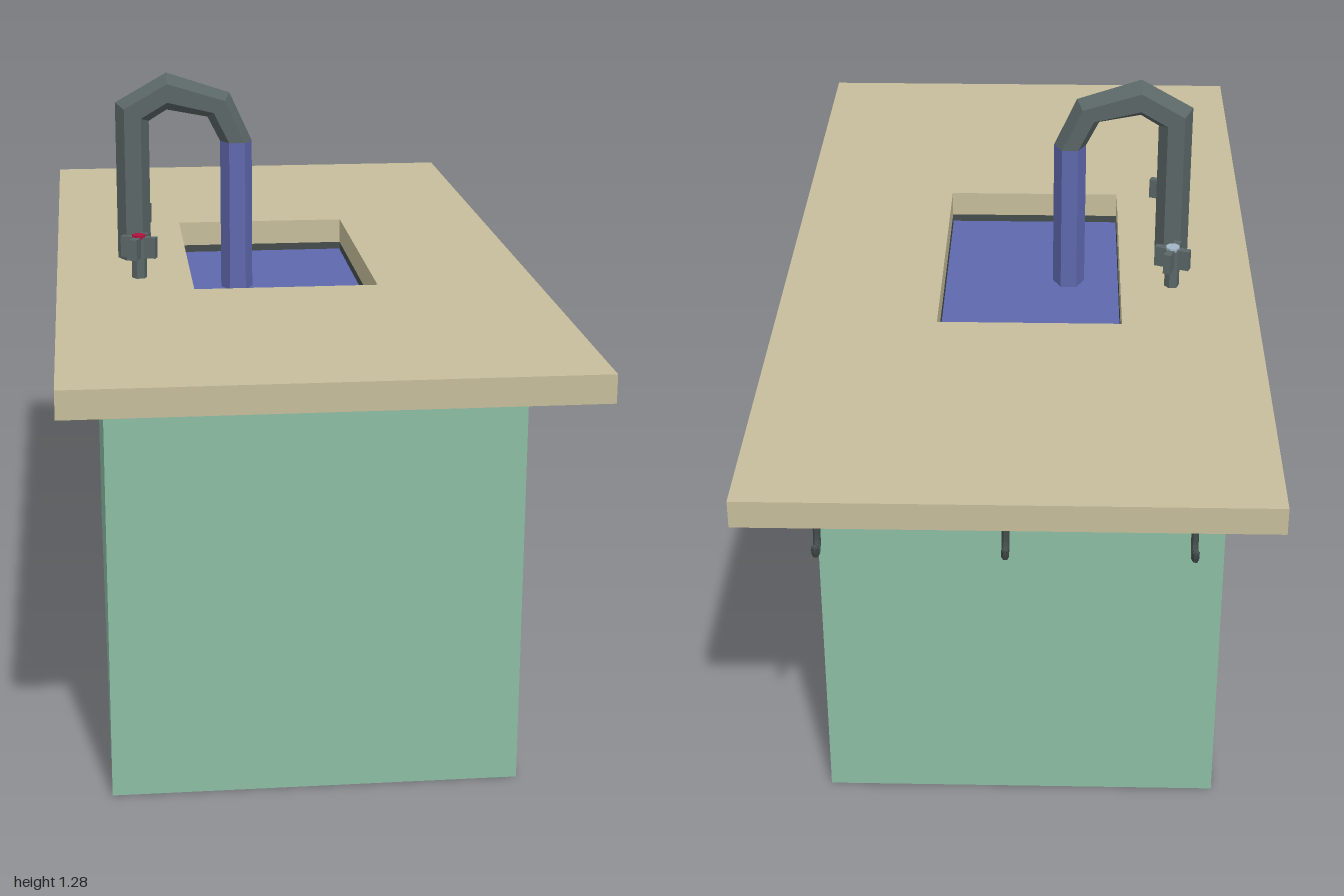
import * as THREE from 'three';

const mat = (color, side = THREE.FrontSide) =>
  new THREE.MeshStandardMaterial({ color, side, flatShading: true });

export function createModel() {
  const model = new THREE.Group();
  const wood = mat(0xc6be9b), green = mat(0x8cbda4, THREE.DoubleSide), water = mat(0x5f68ad);
  const iron = mat(0x5a6666), steel = mat(0x999599), dark = mat(0x454d4d, THREE.DoubleSide);

  const add = (name, geometry, material, parent = model) => {
    const mesh = new THREE.Mesh(geometry, material);
    mesh.name = name;
    parent.add(mesh);
    return mesh;
  };
  // Box given by its limits on each axis
  const box = (name, [x0, x1], [y0, y1], [z0, z1], material, parent) => {
    const g = new THREE.BoxGeometry(x1 - x0, y1 - y0, z1 - z0);
    g.translate((x0 + x1) / 2, (y0 + y1) / 2, (z0 + z1) / 2);
    return add(name, g, material, parent);
  };
  // Box without its top face
  const openBox = (...args) => {
    const mesh = box(...args);
    const index = Array.from(mesh.geometry.index.array);
    index.splice(12, 6);
    mesh.geometry.setIndex(index);
    mesh.geometry.clearGroups();
    return mesh;
  };

  // Cabinet, closed above by the worktop
  openBox('cabinet', [-0.415, 0.378], [0, 0.82], [-0.735, 0.832], green);

  // Worktop with the sink opening
  const top = new THREE.Shape();
  top.moveTo(-0.5, -1).lineTo(0.5, -1).lineTo(0.5, 1).lineTo(-0.5, 1).closePath();
  const hole = new THREE.Path();
  hole.moveTo(-0.217, -0.317).lineTo(-0.217, 0.317).lineTo(0.165, 0.317).lineTo(0.165, -0.317).closePath();
  top.holes.push(hole);
  const topGeo = new THREE.ExtrudeGeometry(top, { depth: 0.055, bevelEnabled: false });
  topGeo.rotateX(-Math.PI / 2).translate(0, 0.82, 0);
  add('worktop', topGeo, wood);

  // Sink and water
  openBox('sinkBasin', [-0.218, 0.166], [0.55, 0.821], [-0.318, 0.318], dark);
  box('sinkWater', [-0.216, 0.164], [0.56, 0.804], [-0.316, 0.316], water);

  // Doors, the strip between them, and handles
  box('doorLeft', [0.378, 0.395], [0.147, 0.7], [0.075, 0.63], wood);
  box('doorRight', [0.378, 0.395], [0.147, 0.7], [-0.5, 0.053], wood);
  box('doorLatch', [0.378, 0.39], [0.285, 0.57], [0.053, 0.075], steel);
  for (const z of [0.15, -0.023]) {
    const handle = new THREE.Group();
    handle.name = 'doorHandle';
    model.add(handle);
    const depth = [z - 0.018, z + 0.018];
    box('handleBar', [0.455, 0.475], [0.18, 0.665], depth, steel, handle);
    box('handleTop', [0.393, 0.456], [0.625, 0.665], depth, steel, handle);
    box('handleBottom', [0.393, 0.456], [0.18, 0.212], depth, steel, handle);
  }

  // Hexagonal sweep through pairs of outer and inner points in the x-y plane
  const hexSweep = (pairs, zc) => {
    const pos = [], index = [];
    const n = pairs.length;
    for (const [ox, oy, ix, iy] of pairs) {
      for (let k = 0; k < 6; k++) {
        const c = Math.cos(k * Math.PI / 3), s = Math.sin(k * Math.PI / 3);
        pos.push((ox + ix) / 2 + c * (ox - ix) / 2, (oy + iy) / 2 + c * (oy - iy) / 2, zc + 0.04 * s);
      }
    }
    for (let i = 0; i < n - 1; i++) {
      for (let k = 0; k < 6; k++) {
        const a = i * 6 + k, b = i * 6 + (k + 1) % 6;
        index.push(a, b, b + 6, a, b + 6, a + 6);
      }
    }
    for (let k = 1; k < 5; k++) {
      const e = (n - 1) * 6;
      index.push(0, k + 1, k, e, e + k, e + k + 1);
    }
    const g = new THREE.BufferGeometry();
    g.setAttribute('position', new THREE.Float32BufferAttribute(pos, 3));
    g.setIndex(index);
    g.computeVertexNormals();
    return g;
  };

  // Faucet and running water
  add('faucet', hexSweep([
    [-0.367, 0.874, -0.295, 0.874],
    [-0.367, 1.217, -0.295, 1.176],
    [-0.256, 1.28, -0.256, 1.2],
    [-0.12, 1.235, -0.168, 1.183],
    [-0.072, 1.13, -0.141, 1.13],
  ], 0.018), iron);
  add('waterStream', hexSweep([[-0.141, 1.13, -0.072, 1.13], [-0.141, 0.8, -0.072, 0.8]].map(
    ([a, b, c, d]) => [c, d, a, b]).reverse().map(([a, b, c, d]) => [c, d, a, b]), 0.018), water);

  // Cross-handled taps, hot and cold
  for (const [name, z, color] of [['hotTap', 0.203, 0xb0123f], ['coldTap', -0.14, 0xa3b6c6]]) {
    const tap = new THREE.Group();
    tap.name = name;
    tap.position.set(-0.326, 0.875, z);
    tap.rotation.y = -0.37;
    model.add(tap);
    add('tapStem', new THREE.CylinderGeometry(0.016, 0.016, 0.086, 6).translate(0, 0.043, 0), iron, tap);
    box('tapArmA', [-0.038, 0.038], [0.044, 0.088], [-0.008, 0.008], iron, tap);
    box('tapArmB', [-0.008, 0.008], [0.044, 0.088], [-0.038, 0.038], iron, tap);
    add('tapCap', new THREE.CylinderGeometry(0.015, 0.015, 0.008, 8).translate(0, 0.088, 0), mat(color), tap);
  }

  // Hooks under the end of the worktop
  const hookPath = new THREE.CatmullRomCurve3([
    [0.822, -0.944], [0.79, -0.944], [0.755, -0.946], [0.742, -0.958], [0.745, -0.973], [0.765, -0.98],
  ].map(([y, z]) => new THREE.Vector3(0, y, z)));
  for (const x of [0.35, 0.005, -0.34]) {
    const hook = new THREE.Group();
    hook.name = 'hook';
    hook.position.x = x;
    model.add(hook);
    add('hookWire', new THREE.TubeGeometry(hookPath, 12, 0.007, 6), dark, hook);
    add('hookTip', new THREE.IcosahedronGeometry(0.007, 0).translate(0, 0.765, -0.98), dark, hook);
  }
  return model;
}
